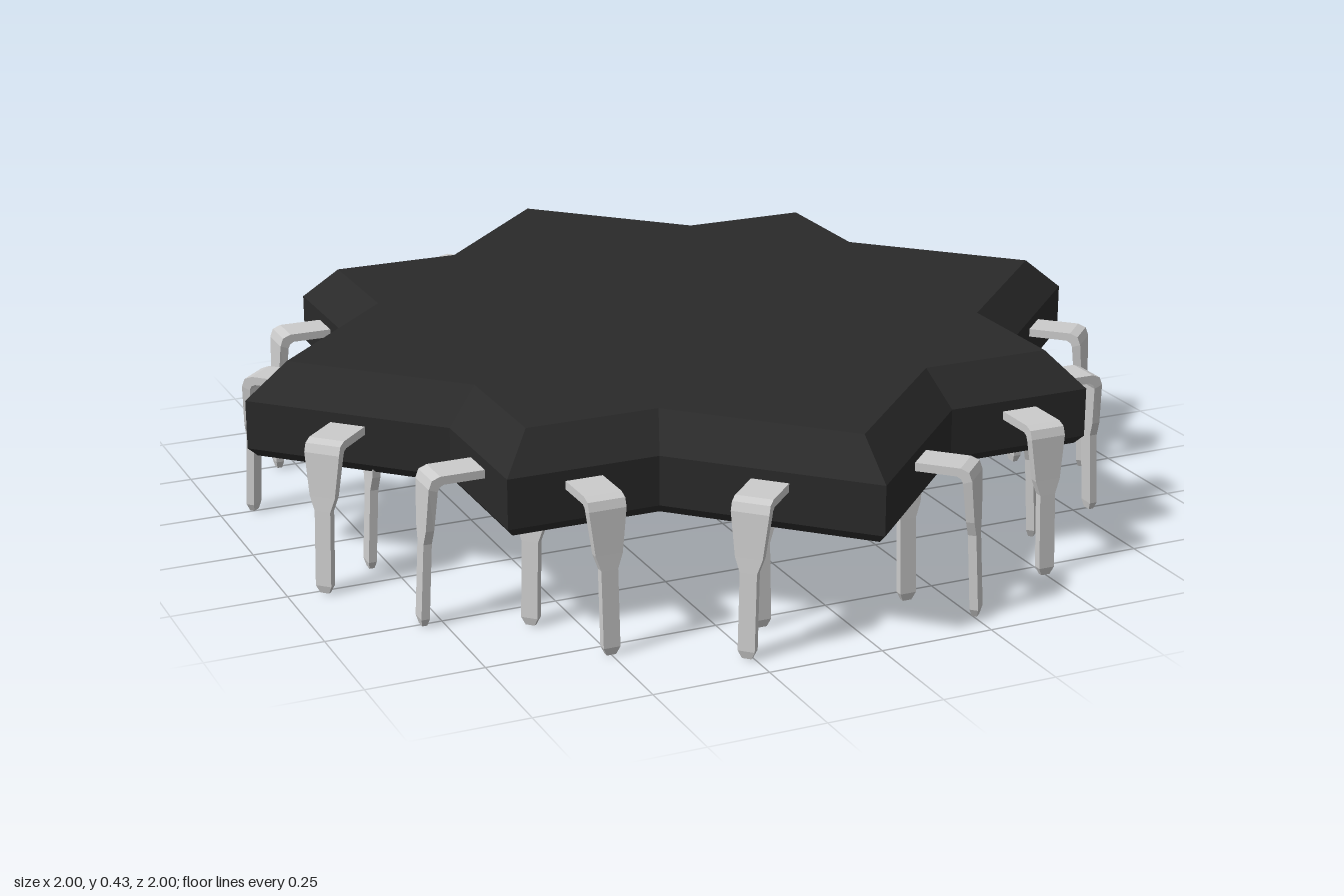
import * as THREE from 'three';

// Joins four-cornered rings into a closed, faceted solid
function loft(rings) {
  const pos = [];
  const put = (...pts) => pts.forEach((p) => pos.push(...p));
  for (let i = 0; i < rings.length - 1; i++) {
    for (let k = 0; k < 4; k++) {
      const n = (k + 1) % 4;
      const a = rings[i][k], b = rings[i][n], c = rings[i + 1][n], d = rings[i + 1][k];
      put(a, d, c, a, c, b);
    }
  }
  const s = rings[0], e = rings[rings.length - 1];
  put(s[0], s[1], s[2], s[0], s[2], s[3]);
  put(e[0], e[2], e[1], e[0], e[3], e[2]);
  const g = new THREE.BufferGeometry();
  g.setAttribute('position', new THREE.Float32BufferAttribute(pos, 3));
  g.computeVertexNormals();
  return g;
}

// Square slab with a wide top bevel and a small bottom one
function slabGeometry(half) {
  const levels = [[half - 0.067, 0.428], [half, 0.352], [half, 0.245], [half - 0.015, 0.226]];
  return loft(levels.map(([h, y]) => [[-h, y, h], [h, y, h], [h, y, -h], [-h, y, -h]]));
}

// Bent pin: outer z, outer y, inner z, inner y, width (z measured from the slab side)
function pinGeometry() {
  const stations = [
    [-0.03, 0.33, -0.03, 0.312, 0.08],
    [0.095, 0.33, 0.088, 0.312, 0.08],
    [0.113, 0.323, 0.097, 0.307, 0.08],
    [0.12, 0.305, 0.101, 0.298, 0.08],
    [0.125, 0.212, 0.107, 0.212, 0.058],
    [0.127, 0.18, 0.109, 0.18, 0.036],
    [0.136, 0.017, 0.118, 0.017, 0.036],
    [0.132, 0, 0.121, 0, 0.02],
  ];
  return loft(stations.map(([zo, yo, zi, yi, w]) => [
    [-w / 2, yo, zo], [w / 2, yo, zo], [w / 2, yi, zi], [-w / 2, yi, zi],
  ]));
}

export function createModel() {
  const model = new THREE.Group();
  model.name = 'starChip';
  const dark = new THREE.MeshStandardMaterial({ color: 0x2a2a2a, flatShading: true });
  const grey = new THREE.MeshStandardMaterial({ color: 0xcccccc, flatShading: true });
  const pinGeo = pinGeometry();

  // A square chip with the same row of pins on all four sides
  function chip(name, half, offsets, turn) {
    const group = new THREE.Group();
    group.name = name;
    const body = new THREE.Mesh(slabGeometry(half), dark);
    body.name = 'body';
    group.add(body);
    for (let i = 0; i < 4; i++) {
      const side = new THREE.Group();
      side.name = 'pinRow';
      side.rotation.y = (i * Math.PI) / 2;
      for (const x of offsets) {
        const pin = new THREE.Mesh(pinGeo, grey);
        pin.name = 'pin';
        pin.position.set(x, 0, half);
        side.add(pin);
      }
      group.add(side);
    }
    group.rotation.y = turn;
    model.add(group);
  }

  // Two crossed squares form the eight-pointed star
  chip('straightChip', 0.664, [-0.5, -0.167, 0.167, 0.5], 0);
  chip('diagonalChip', Math.SQRT1_2, [-0.467, 0, 0.467], Math.PI / 4);
  return model;
}
